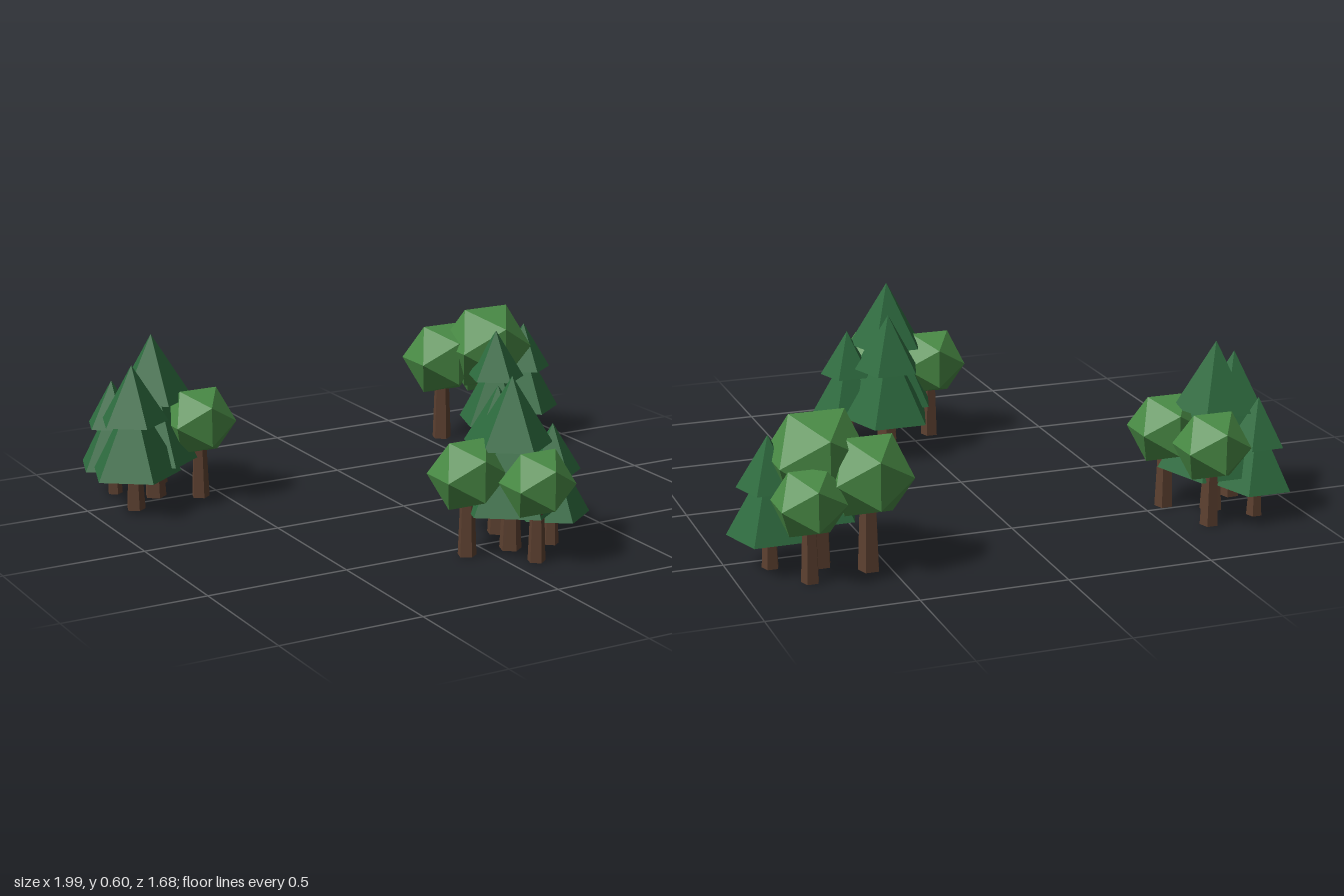
import * as THREE from 'three';

const mat = (name, color) => {
  const m = new THREE.MeshStandardMaterial({ color, flatShading: true });
  m.name = name;
  return m;
};

export function createModel() {
  const bark = mat('barkBrown', 0x5c4030);
  const needles = mat('needleGreen', 0x2d6a3e);
  const leaves = mat('leafGreen', 0x4a8c46);

  const add = (parent, name, geometry, material, y) => {
    const mesh = new THREE.Mesh(geometry, material);
    mesh.name = name;
    mesh.position.y = y;
    parent.add(mesh);
  };

  const trunk = (tree, radius, height) =>
    add(tree, 'trunk', new THREE.CylinderGeometry(radius * 0.75, radius, height, 5), bark, height / 2);

  // Conifer: trunk and two stacked five-sided cones, sized by total height
  const conifer = (h) => {
    const tree = new THREE.Group();
    tree.name = 'conifer';
    trunk(tree, 0.066 * h, 0.3 * h);
    add(tree, 'lowerBoughs', new THREE.ConeGeometry(0.315 * h, 0.57 * h, 5), needles, (0.253 + 0.285) * h);
    add(tree, 'upperBoughs', new THREE.ConeGeometry(0.236 * h, 0.39 * h, 5), needles, 0.805 * h);
    return tree;
  };

  // Broadleaf: trunk and a faceted ball crown, sized by crown radius
  const broadleaf = (r) => {
    const tree = new THREE.Group();
    tree.name = 'broadleaf';
    trunk(tree, 0.245 * r, 1.6 * r);
    add(tree, 'crown', new THREE.IcosahedronGeometry(r, 0), leaves, 2.1 * r);
    return tree;
  };

  // Each tree: builder, size, x, z
  const groves = {
    rightGrove: [
      [conifer, 0.525, -0.84, -0.443],
      [conifer, 0.6, -0.718, -0.548],
      [conifer, 0.42, -0.83, -0.655],
      [broadleaf, 0.133, -0.643, -0.69],
      [broadleaf, 0.135, -0.578, -0.465],
    ],
    frontGrove: [
      [conifer, 0.6, 0.083, 0.579],
      [conifer, 0.523, 0.132, 0.413],
      [conifer, 0.423, 0.231, 0.602],
      [broadleaf, 0.135, -0.08, 0.567],
      [broadleaf, 0.128, 0.09, 0.731],
    ],
    leftGrove: [
      [broadleaf, 0.177, 0.708, -0.605],
      [broadleaf, 0.153, 0.567, -0.696],
      [broadleaf, 0.127, 0.775, -0.735],
      [conifer, 0.468, 0.661, -0.451],
      [conifer, 0.449, 0.86, -0.569],
    ],
  };

  const model = new THREE.Group();
  model.name = 'treeGroves';
  for (const [name, trees] of Object.entries(groves)) {
    const grove = new THREE.Group();
    grove.name = name;
    for (const [build, size, x, z] of trees) {
      const tree = build(size);
      tree.position.set(x, 0, z);
      grove.add(tree);
    }
    model.add(grove);
  }
  return model;
}
